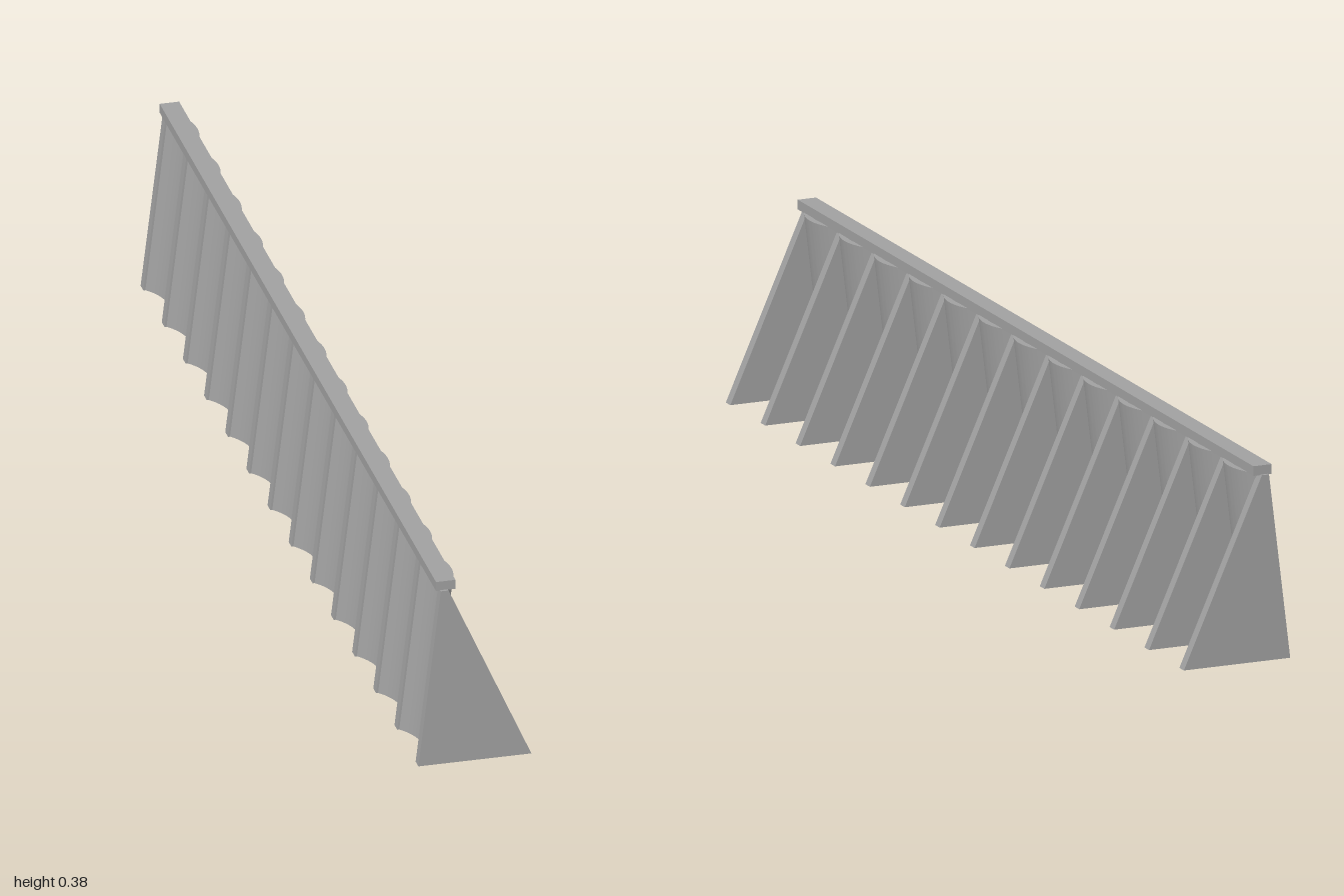
import * as THREE from 'three';
import { toCreasedNormals } from 'three/addons/utils/BufferGeometryUtils.js';

const BAYS = 13;        // arches between 14 buttresses
const PITCH = 0.1602;
const HEIGHT = 0.365;
const BATTER = 0.044;   // lean of the upstream face over the full height

// Sloping triangular buttress, centred on its thickness
function buttressGeometry() {
  const thickness = 0.021;
  const shape = new THREE.Shape([
    new THREE.Vector2(-0.11, 0),
    new THREE.Vector2(0.111, 0),
    new THREE.Vector2(-0.051, HEIGHT),
    new THREE.Vector2(-0.11 + BATTER, HEIGHT),
  ]);
  const geo = new THREE.ExtrudeGeometry(shape, { depth: thickness, bevelEnabled: false });
  return geo.translate(0, 0, -thickness / 2);
}

// Curved wall: an arc band raised vertically, then sheared to follow the batter
function archGeometry() {
  const centre = -0.138, outer = 0.116, inner = 0.103, half = 0.77;
  const shape = new THREE.Shape();
  shape.absarc(centre, 0, outer, -half, half, false);
  shape.absarc(centre, 0, inner, half, -half, true);
  const geo = new THREE.ExtrudeGeometry(shape, { depth: HEIGHT, bevelEnabled: false, curveSegments: 16 });
  geo.rotateX(-Math.PI / 2);
  const p = geo.attributes.position;
  for (let i = 0; i < p.count; i++) {
    p.setX(i, p.getX(i) + BATTER * (p.getY(i) / HEIGHT - 1));
  }
  return toCreasedNormals(geo, 0.6);
}

export function createModel() {
  const concrete = new THREE.MeshStandardMaterial({ color: 0xa0a0a0 });
  concrete.name = 'concrete';

  const model = new THREE.Group();
  model.name = 'multipleArchDam';

  const add = (name, geo, x, y, z) => {
    const mesh = new THREE.Mesh(geo, concrete);
    mesh.name = name;
    mesh.position.set(x, y, z);
    model.add(mesh);
  };

  const buttress = buttressGeometry();
  const arch = archGeometry();
  for (let i = 0; i <= BAYS; i++) {
    const z = (BAYS / 2 - i) * PITCH;
    add('buttress' + (i + 1), buttress, 0, 0, z);
    if (i < BAYS) add('archWall' + (i + 1), arch, 0, 0, z - PITCH / 2);
  }

  // Straight beam along the crest
  add('crestBeam', new THREE.BoxGeometry(0.038, 0.019, BAYS * PITCH + 0.01), -0.055, HEIGHT + 0.0085, 0);

  // The dam runs diagonally across the plan
  model.rotation.y = -0.434;
  const root = new THREE.Group();
  root.name = 'dam';
  root.add(model);
  return root;
}
